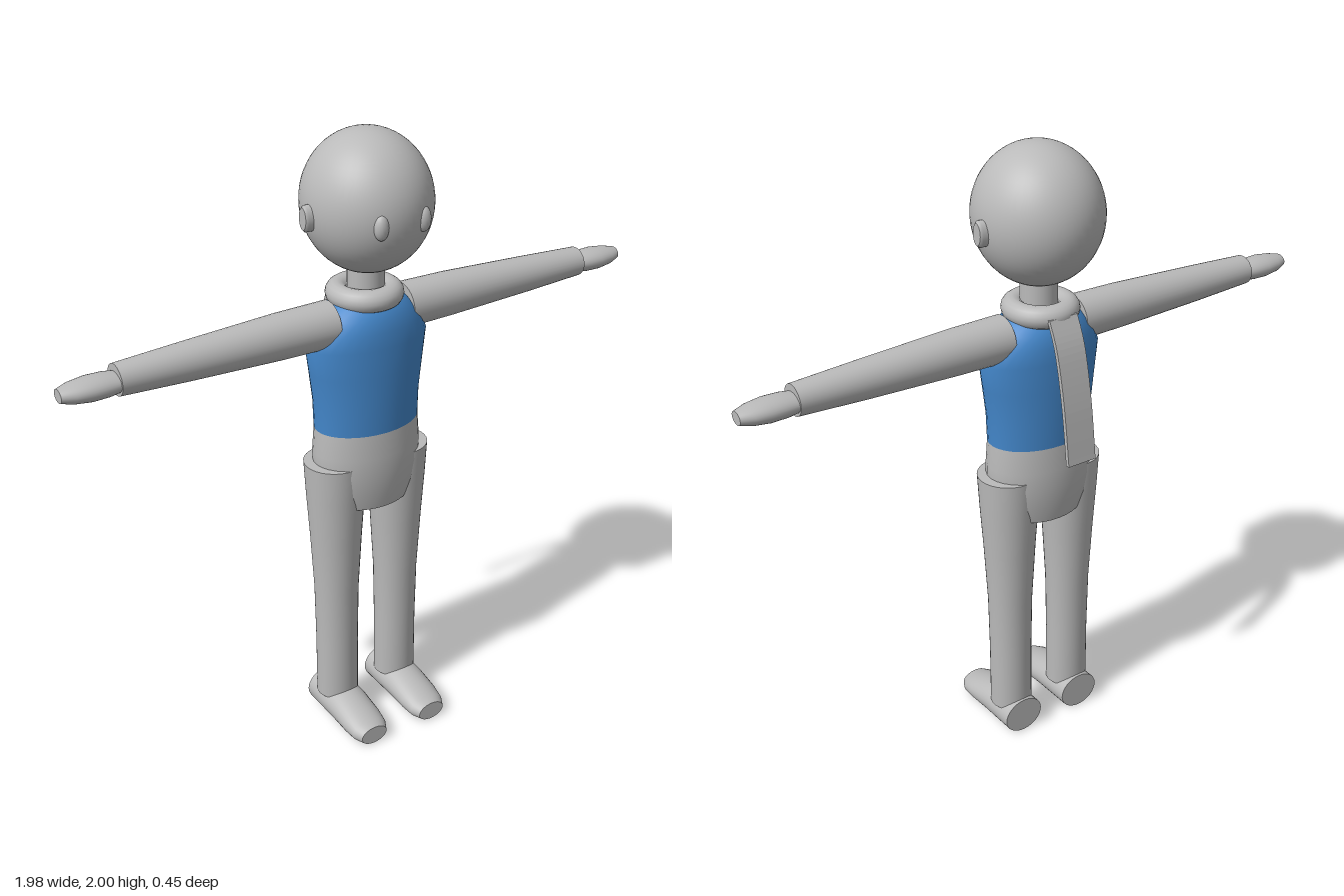
import * as THREE from 'three';

const grey = new THREE.MeshStandardMaterial({ color: 0xbababa });
grey.name = 'plainGrey';
const blue = new THREE.MeshStandardMaterial({ color: 0x4488cc });
blue.name = 'shirtBlue';

// Smooth skin over ellipse rings [z, radiusX, radiusY, centreY], with sharp flat end caps
function loft(rings, segments = 32) {
  const pos = [], index = [];
  const skin = (list) => {
    const base = pos.length / 3;
    list.forEach(([z, rx, ry, cy = 0]) => {
      for (let j = 0; j < segments; j++) {
        const a = (j / segments) * Math.PI * 2;
        pos.push(Math.cos(a) * rx, cy + Math.sin(a) * ry, z);
      }
    });
    for (let i = 0; i < list.length - 1; i++) {
      for (let j = 0; j < segments; j++) {
        const k = (j + 1) % segments;
        const a = base + i * segments + j, b = base + i * segments + k;
        index.push(a, b, b + segments, a, b + segments, a + segments);
      }
    }
  };
  const first = rings[0], last = rings[rings.length - 1];
  const point = ([z, , , cy = 0]) => [z, 0.0005, 0.0005, cy];
  skin(rings);
  skin([point(first), first]);
  skin([last, point(last)]);
  const geo = new THREE.BufferGeometry();
  geo.setAttribute('position', new THREE.Float32BufferAttribute(pos, 3));
  geo.setIndex(index);
  geo.computeVertexNormals();
  return geo;
}

const upright = (rings) => loft(rings).rotateX(-Math.PI / 2);

export function createModel() {
  const model = new THREE.Group();
  model.name = 'figure';
  const add = (name, geo, material, x = 0, y = 0, z = 0) => {
    const mesh = new THREE.Mesh(geo, material);
    mesh.name = name;
    mesh.position.set(x, y, z);
    model.add(mesh);
    return mesh;
  };

  // Head and neck
  add('head', new THREE.SphereGeometry(1, 48, 32).scale(0.195, 0.213, 0.204), grey, 0, 1.787, 0.004);
  add('neck', new THREE.CylinderGeometry(0.057, 0.057, 0.16, 32), grey, 0, 1.54, 0);

  // Scarf collar and the tail hanging behind
  add('scarfCollar', new THREE.TorusGeometry(0.083, 0.035, 16, 40).rotateX(Math.PI / 2).scale(1, 1, 1.03),
    grey, 0, 1.5, -0.008);
  const outer = [[-0.125, 1.505], [-0.165, 1.41], [-0.2, 1.25], [-0.225, 1.065]];
  const toVectors = (pts, dz) => pts.map(([z, y]) => new THREE.Vector2(z + dz, y));
  const profile = new THREE.Shape();
  profile.moveTo(...outer[0]);
  profile.splineThru(toVectors(outer.slice(1), 0));
  profile.lineTo(outer[3][0] + 0.014, outer[3][1]);
  profile.splineThru(toVectors([...outer].reverse().slice(1), 0.014));
  const tail = new THREE.ExtrudeGeometry(profile, { depth: 0.1, bevelEnabled: false, curveSegments: 5 });
  add('scarfTail', tail.translate(0, 0, -0.05).rotateY(-Math.PI / 2), grey);

  // Shirt and hips
  add('shirt', upright([
    [1.08, 0.176, 0.122], [1.17, 0.179, 0.123], [1.27, 0.192, 0.124], [1.36, 0.205, 0.122],
    [1.41, 0.188, 0.118], [1.45, 0.155, 0.108], [1.48, 0.122, 0.09], [1.5, 0.08, 0.065],
  ]), blue);
  add('hips', upright([
    [0.815, 0.145, 0.11], [0.87, 0.168, 0.121], [0.94, 0.182, 0.128], [1.0, 0.182, 0.127], [1.08, 0.176, 0.122],
  ]), grey);

  for (const [side, s] of [['left', 1], ['right', -1]]) {
    // Eyes and ears
    add(side + 'Eye', new THREE.SphereGeometry(1, 16, 12).scale(0.023, 0.038, 0.02), grey, s * 0.072, 1.768, 0.187);
    add(side + 'Ear', loft([[-0.02, 0.026, 0.04], [0.015, 0.026, 0.04], [0.022, 0.019, 0.033]], 20)
      .rotateY(s * Math.PI / 2), grey, s * 0.193, 1.767, 0);

    // Arm and mitten hand
    add(side + 'Arm', loft([
      [0.13, 0.072, 0.072, 1.428], [0.3, 0.068, 0.07, 1.428], [0.6, 0.058, 0.058, 1.426], [0.82, 0.049, 0.047, 1.425],
    ]).rotateY(s * Math.PI / 2), grey);
    add(side + 'Hand', loft([
      [0.81, 0.043, 0.028, 1.42], [0.85, 0.048, 0.034, 1.42], [0.9, 0.05, 0.035, 1.42],
      [0.95, 0.043, 0.029, 1.42], [0.988, 0.026, 0.02, 1.42],
    ]).rotateY(s * Math.PI / 2), grey);

    // Leg
    add(side + 'Leg', upright([
      [0.09, 0.07, 0.066], [0.3, 0.07, 0.066], [0.5, 0.073, 0.07], [0.7, 0.084, 0.081],
      [0.85, 0.094, 0.091], [0.967, 0.1, 0.098],
    ]), grey, s * 0.115);

    // Shoe, tapering to the toe
    add(side + 'Foot', loft([
      [-0.075, 0.07, 0.061, 0.064], [0.0, 0.071, 0.059, 0.062], [0.07, 0.071, 0.056, 0.059], [0.15, 0.07, 0.045, 0.047],
      [0.195, 0.064, 0.037, 0.039], [0.225, 0.048, 0.031, 0.035],
    ]), grey, s * 0.115, -0.002);
  }
  return model;
}
